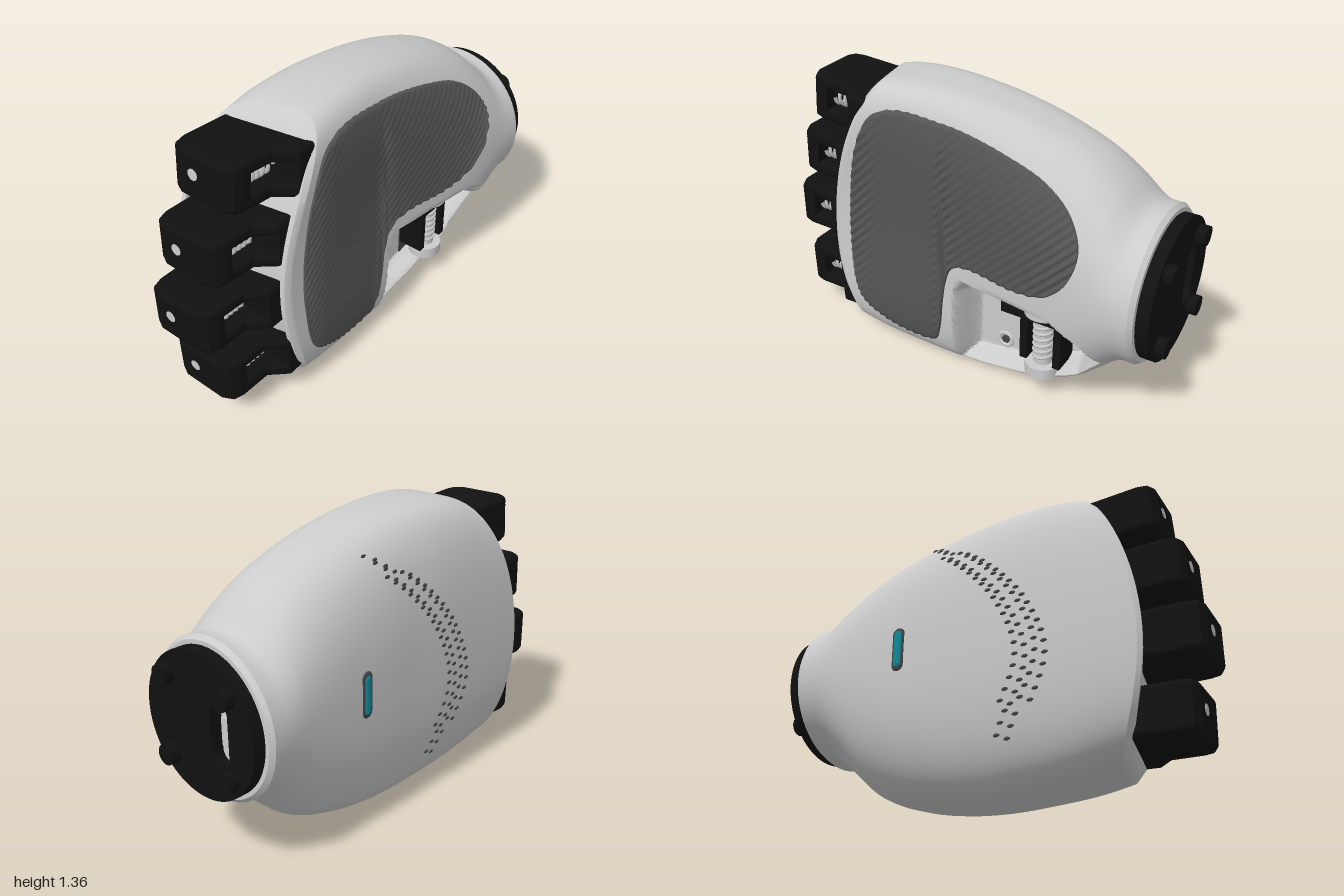
import * as THREE from 'three';
import { toCreasedNormals } from 'three/addons/utils/BufferGeometryUtils.js';

const material = (color, side = THREE.FrontSide) => new THREE.MeshStandardMaterial({ color, side });
const GREY = material(0xcccccc), BLACK = material(0x111111), RUBBER = material(0x555555, THREE.DoubleSide);
const DARK = material(0x444444), TEAL = material(0x118899);

function add(parent, name, geometry, mat, x = 0, y = 0, z = 0) {
  const mesh = new THREE.Mesh(geometry, mat);
  mesh.name = name;
  mesh.position.set(x, y, z);
  parent.add(mesh);
  return mesh;
}

// Shell dimensions along z: smooth curves through a few stations
const curve = (zs, values) => {
  const c = new THREE.CubicInterpolant(zs, values, 1);
  return z => c.evaluate(THREE.MathUtils.clamp(z, zs[0], zs[zs.length - 1]))[0];
};
const topY = curve([-0.9, -0.81, -0.7, -0.6, -0.4, -0.2, 0, 0.2, 0.4, 0.5, 0.8],
  [1.02, 1.025, 1.12, 1.19, 1.27, 1.32, 1.35, 1.36, 1.345, 1.32, 1.27]);
const bottomY = curve([-0.9, -0.81, -0.7, -0.6, -0.4, -0.2, 0, 0.2, 0.4, 0.6, 0.8],
  [0.32, 0.315, 0.22, 0.13, 0.05, 0.012, 0, 0.01, 0.03, 0.07, 0.1]);
const halfWidth = curve([-0.9, -0.6, -0.2, 0, 0.2, 0.8], [0.35, 0.335, 0.3, 0.28, 0.273, 0.268]);
const squareness = curve([-0.9, -0.75, -0.3, 0.2, 0.7], [2, 2.1, 2.8, 3.8, 4.8]);
const bow = (v, z) => -0.05 * (1 - v * v) * THREE.MathUtils.smoothstep(z, -0.7, 0.2);
const frontZ = (x, y) => 0.71 - 0.2 * x - (y > 0.55 ? 0.4 : 0.5) * (y - 0.55) ** 2;

// Point of the cross-section at z, shrunk by k, in direction angle
function sectionPoint(z, angle, k = 1) {
  const c = Math.cos(angle), s = Math.sin(angle), n = squareness(z);
  const r = k * (Math.abs(c) ** n + Math.abs(s) ** n) ** (-1 / n);
  const mid = (topY(z) + bottomY(z)) / 2, half = (topY(z) - bottomY(z)) / 2;
  return [bow(r * s, z) + r * c * halfWidth(z), mid + r * s * half];
}

// x of the shell's side wall at (z, y)
function wallX(z, y, side) {
  const n = squareness(z), mid = (topY(z) + bottomY(z)) / 2;
  const v = THREE.MathUtils.clamp((y - mid) / (topY(z) - mid), -1, 1);
  return bow(v, z) + side * halfWidth(z) * (1 - Math.abs(v) ** n) ** (1 / n);
}

// Thumb pocket outline as [z, y], and depth inside it
const POCKET = [[0.01, 0.02], [0, 0.45], [-0.05, 0.53], [-0.52, 0.54], [-0.67, 0.46],
  [-0.74, 0.34], [-0.62, 0.19], [-0.4, 0.08], [-0.2, 0.035]];
const FLOOR = 0.06;
function pocketDepth(z, y) {
  let inside = false, best = 9;
  POCKET.forEach(([az, ay], i) => {
    const [bz, by] = POCKET[(i + 1) % POCKET.length];
    const dz = bz - az, dy = by - ay;
    const t = THREE.MathUtils.clamp(((z - az) * dz + (y - ay) * dy) / (dz * dz + dy * dy), 0, 1);
    best = Math.min(best, Math.hypot(z - az - t * dz, y - ay - t * dy));
    if ((ay > y) !== (by > y) && z < az + (y - ay) / dy * dz) inside = !inside;
  });
  return inside ? best : 0;
}

// Triangulated grid; rows of [x, y, z] points
function gridGeometry(rows) {
  const cols = rows[0].length, index = [];
  for (let i = 0; i < rows.length - 1; i++) for (let j = 0; j < cols - 1; j++) {
    const a = i * cols + j, b = a + 1, c = b + cols, d = a + cols;
    index.push(a, b, c, a, c, d);
  }
  const g = new THREE.BufferGeometry();
  g.setAttribute('position', new THREE.Float32BufferAttribute(rows.flat(2), 3));
  g.setIndex(index);
  g.computeVertexNormals();
  return g;
}

function shellGeometry() {
  const rings = 130, sides = 240, rows = [];
  const ring = fn => rows.push(Array.from({ length: sides + 1 }, (_, j) => fn(j % sides / sides * Math.PI * 2)));
  const back = -0.9;
  for (const [k, z] of [[0, back], [0.95, back]]) ring(t => [...sectionPoint(back, t, k), z]);
  for (let i = 0; i <= rings; i++) ring(t => {
    const u = i / rings;
    let z = -0.88 + u * 1.5, x, y;
    for (let pass = 0; pass < 5; pass++) {
      [x, y] = sectionPoint(z, t);
      z = -0.88 + u * (frontZ(x, y) - 0.02 + 0.88);
    }
    if (Math.cos(t) > 0) {
      const w = THREE.MathUtils.smoothstep(pocketDepth(z, y), 0, 0.06);
      x += w * (Math.min(x, FLOOR) - x);
    }
    return [x, y, z];
  });
  // Bevelled rim and recessed front plate
  for (const [k, sink] of [[0.95, 0], [0.88, 0], [0.86, 0.03], [0.65, 0.03], [0.4, 0.03], [0.2, 0.03], [0, 0.03]])
    ring(t => {
      let z = 0.62, x, y;
      for (let pass = 0; pass < 5; pass++) {
        [x, y] = sectionPoint(z, t);
        z = frontZ(x, y);
      }
      [x, y] = sectionPoint(z, t, k);
      return [x, y, frontZ(x, y) - sink];
    });
  return toCreasedNormals(gridGeometry(rows), 0.6);
}

// Ribbed palm pad following the wall inside a smooth outline
function padGeometry() {
  const outline = new THREE.CatmullRomCurve3([[0.565, 0.5], [0.55, 0.8], [0.5, 1.05], [0.42, 1.21], [0.3, 1.265],
    [0, 1.25], [-0.25, 1.2], [-0.45, 1.13], [-0.58, 1.03], [-0.64, 0.9], [-0.6, 0.75], [-0.5, 0.65], [-0.35, 0.61],
    [-0.1, 0.605], [0, 0.565], [0.04, 0.45], [0.07, 0.22], [0.11, 0.12], [0.22, 0.1], [0.4, 0.14], [0.52, 0.23]]
    .map(([z, y]) => new THREE.Vector3(z, y, 0)), true).getPoints(300);
  const zs = outline.map(p => p.x), z0 = Math.min(...zs), z1 = Math.max(...zs);
  const rows = [], nz = 170, ny = 70;
  for (let i = 0; i <= nz; i++) {
    const z = z0 + (z1 - z0) * (0.5 - 0.4995 * Math.cos(i / nz * Math.PI));
    const hits = [];
    for (let k = 0; k < 300; k++) {
      const a = outline[k], b = outline[k + 1];
      if ((a.x > z) !== (b.x > z)) hits.push(a.y + (z - a.x) / (b.x - a.x) * (b.y - a.y));
    }
    const lo = Math.min(...hits), hi = Math.max(...hits);
    rows.push(Array.from({ length: ny + 1 }, (_, j) => {
      const y = lo + (hi - lo) * j / ny;
      const edge = j === 0 || j === ny || i === 0 || i === nz;
      const rib = 0.004 * Math.sin((z * 0.7 + y * 0.7) * 190);
      return [wallX(z, y, 1) + (edge ? -0.01 : 0.009 + rib), y, z];
    }));
  }
  return gridGeometry(rows);
}

function springGeometry(radius, length, turns) {
  const points = Array.from({ length: turns * 10 + 1 }, (_, i) => {
    const t = i / 10 * Math.PI * 2;
    return new THREE.Vector3(radius * Math.cos(t), radius * Math.sin(t), (i / turns / 10 - 0.5) * length);
  });
  return new THREE.TubeGeometry(new THREE.CatmullRomCurve3(points), turns * 12, 0.009, 5);
}

// Horizontal slab from an [x, z] outline
function slab(points, height, bevel) {
  const shape = new THREE.Shape(points.map(p => new THREE.Vector2(...p)));
  const g = new THREE.ExtrudeGeometry(shape, { depth: height - 2 * bevel, bevelEnabled: bevel > 0,
    bevelThickness: bevel, bevelSize: bevel, bevelOffset: -bevel, bevelSegments: 3 });
  return g.rotateX(Math.PI / 2).translate(0, height / 2 - bevel, 0);
}

// Knuckle: two plates around a notched core with a spring; origin at its front face
function knuckle() {
  const g = new THREE.Group();
  const left = [[-0.205, -0.42], [0.205, -0.42], [0.205, -0.28]];
  const front = [[0.125, -0.07], [0.11, -0.025], [0.06, 0], [-0.15, 0], [-0.19, -0.02], [-0.205, -0.07]];
  for (const s of [-1, 1])
    add(g, 'knucklePlate', slab([...left, [0.13, -0.21], ...front], 0.062, 0.022), BLACK, 0, s * 0.078, 0);
  add(g, 'knuckleCore', slab([...left, [-0.08, -0.28], [-0.08, -0.1], [0.125, -0.1], ...front], 0.13, 0), BLACK);
  add(g, 'knuckleSpring', springGeometry(0.045, 0.17, 6), GREY, 0.03, 0, -0.19);
  add(g, 'knucklePin', new THREE.CylinderGeometry(0.025, 0.025, 0.01, 20).rotateX(Math.PI / 2), GREY, -0.08, 0.01, -0.003);
  return g;
}

export function createModel() {
  const model = new THREE.Group();
  model.name = 'mechanicalPalm';
  add(model, 'palmShell', shellGeometry(), GREY);
  add(model, 'palmPad', padGeometry(), RUBBER);

  // Four finger knuckles: x, y, front z, tilt
  [[0.003, 1.18, 0.83, -0.07], [-0.02, 0.87, 0.935, -0.03], [-0.03, 0.555, 1, 0], [0.003, 0.24, 0.935, 0.03]]
    .forEach(([x, y, z, tilt], i) => {
      const k = knuckle();
      k.name = 'knuckle' + (i + 1);
      k.position.set(x, y, z);
      k.rotation.x = tilt;
      model.add(k);
    });

  // Wrist plate with connector slot and bolts
  const disc = new THREE.Shape().absarc(0, 0, 0.315, 0, Math.PI * 2);
  const slot = new THREE.Path().absarc(-0.12, 0.09, 0.05, 0, Math.PI);
  slot.absarc(-0.12, -0.09, 0.05, Math.PI, Math.PI * 2);
  disc.holes.push(slot);
  add(model, 'wristPlate', new THREE.ExtrudeGeometry(disc, { depth: 0.055, bevelEnabled: false, curveSegments: 48 }),
    BLACK, 0, 0.67, -0.957);
  add(model, 'wristConnector', new THREE.BoxGeometry(0.05, 0.12, 0.03), GREY, -0.12, 0.67, -0.91);
  for (const sx of [-1, 1]) for (const sy of [-1, 1])
    add(model, 'wristBolt', new THREE.CylinderGeometry(0.045, 0.045, 0.05, 20).rotateX(Math.PI / 2),
      BLACK, sx * 0.175, 0.67 + sy * 0.175, -0.975);

  // Thumb mount inside the pocket
  const mount = new THREE.Group();
  mount.name = 'thumbMount';
  model.add(mount);
  add(mount, 'mountRecess', new THREE.BoxGeometry(0.02, 0.36, 0.2), DARK, FLOOR - 0.005, 0.3, -0.425);
  add(mount, 'mountBar', new THREE.BoxGeometry(0.16, 0.09, 0.38), BLACK, 0.13, 0.465, -0.43);
  for (const z of [-0.345, -0.51])
    add(mount, 'mountLeg', new THREE.BoxGeometry(0.14, 0.24, 0.035), BLACK, 0.12, 0.31, z);
  add(mount, 'mountNut', new THREE.CylinderGeometry(0.09, 0.09, 0.05, 24), GREY, 0.15, 0.475, -0.425);
  add(mount, 'mountScrew', new THREE.CylinderGeometry(0.042, 0.042, 0.3, 20), GREY, 0.15, 0.31, -0.425);
  add(mount, 'mountScrewHead', new THREE.CylinderGeometry(0.08, 0.08, 0.055, 24), GREY, 0.15, 0.155, -0.425);
  for (let i = 0; i < 6; i++)
    add(mount, 'screwThread', new THREE.TorusGeometry(0.042, 0.008, 6, 20).rotateX(Math.PI / 2 + 0.15),
      GREY, 0.15, 0.22 + i * 0.032, -0.425);
  add(mount, 'pocketScrewRim', new THREE.TorusGeometry(0.034, 0.009, 8, 24).rotateY(Math.PI / 2), GREY, FLOOR, 0.145, -0.185);
  add(mount, 'pocketScrew', new THREE.CylinderGeometry(0.022, 0.022, 0.012, 6).rotateZ(Math.PI / 2), DARK, FLOOR, 0.145, -0.185);

  // Indicator light and vent band on the back of the hand
  add(model, 'lightBezel', new THREE.CapsuleGeometry(0.03, 0.15, 6, 16).scale(0.35, 1, 1), DARK, wallX(-0.35, 0.69, -1) + 0.002, 0.69, -0.35);
  add(model, 'indicatorLight', new THREE.CapsuleGeometry(0.02, 0.14, 6, 16).scale(0.5, 1, 1), TEAL, wallX(-0.35, 0.69, -1) - 0.003, 0.69, -0.35);
  const arc = new THREE.CatmullRomCurve3([[-0.22, 1.23], [0.02, 1.04], [0.2, 0.82], [0.29, 0.55], [0.14, 0.22]]
    .map(([z, y]) => new THREE.Vector3(0, y, z)));
  const vent = new THREE.SphereGeometry(0.012, 8, 6).scale(0.4, 0.7, 1.3);
  for (let i = 0; i <= 24; i++) {
    const p = arc.getPointAt(i / 24), rows = i < 3 || i > 21 ? 2 : 4;
    for (let r = 0; r < rows; r++) {
      const z = p.z + (r - (rows - 1) / 2) * 0.045, y = p.y - (r % 2) * 0.02;
      add(model, 'ventHole', vent, DARK, wallX(z, y, -1), y, z);
    }
  }
  return model;
}
